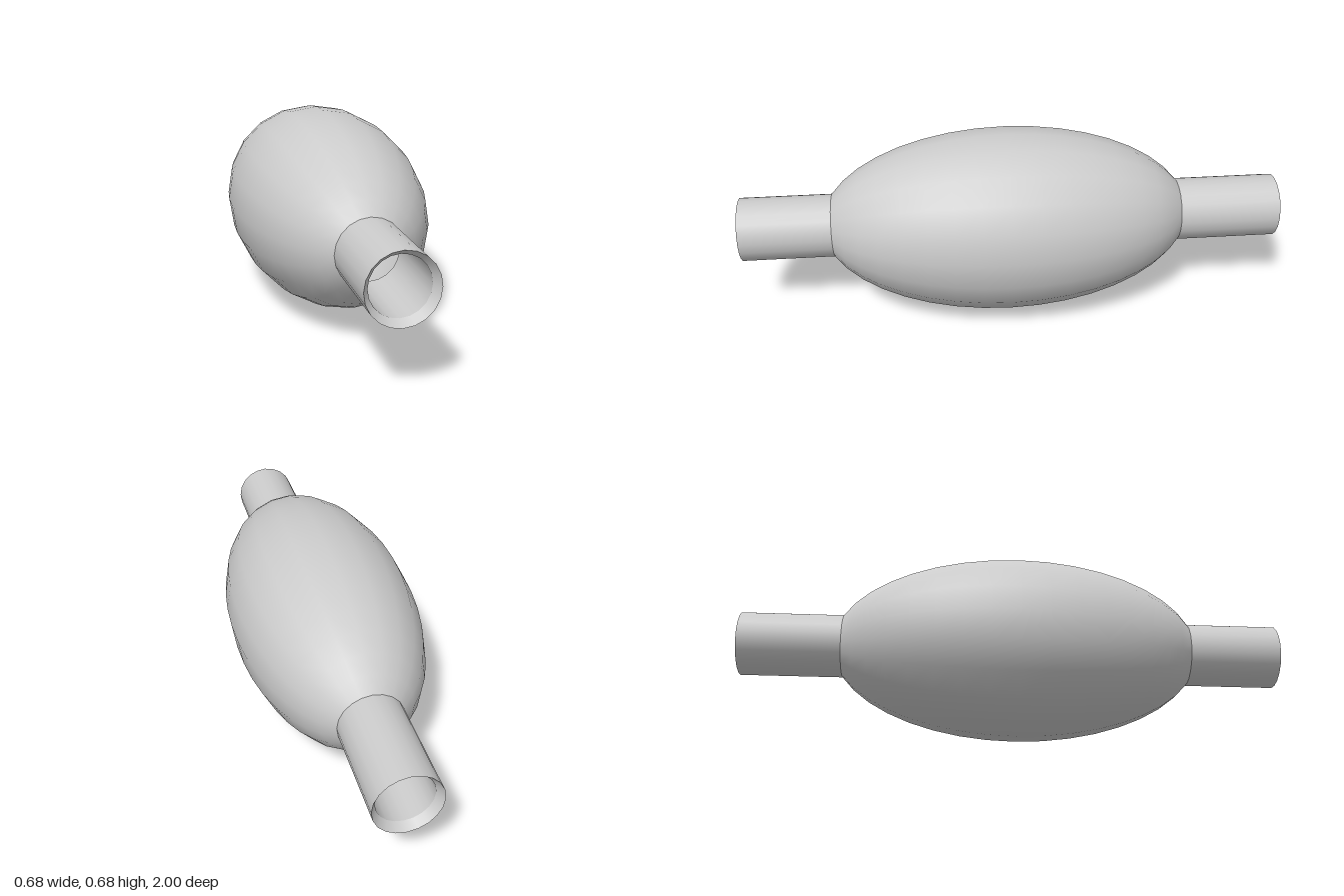
import * as THREE from 'three';

const SIDES = 20;
const CENTRE = 0.02; // the bulb sits slightly forward along the axis

export function createModel() {
  const model = new THREE.Group();
  const axis = new THREE.Group();
  axis.name = 'hollowBulb';
  axis.rotation.x = Math.PI / 2; // lathe axis y becomes z
  axis.position.y = 0.344;
  model.add(axis);

  const material = new THREE.MeshStandardMaterial({ color: 0xcccccc });

  // Profile points are [radius, z]; rising z faces outward, falling z faces inward
  function turn(name, profile) {
    const points = profile.map(([r, z]) => new THREE.Vector2(r, z));
    const mesh = new THREE.Mesh(new THREE.LatheGeometry(points, SIDES), material);
    mesh.name = name;
    axis.add(mesh);
  }

  // Ellipse arc from the back neck to the front neck
  function bulbArc(radius, halfLength, neckRadius, steps) {
    const start = Math.asin(neckRadius / radius);
    return Array.from({ length: steps + 1 }, (_, i) => {
      const t = Math.PI - start - (i / steps) * (Math.PI - 2 * start);
      return [radius * Math.sin(t), CENTRE + halfLength * Math.cos(t)];
    });
  }

  const outer = bulbArc(0.342, 0.686, 0.117, 16);
  const inner = bulbArc(0.322, 0.666, 0.097, 16);
  turn('bulbShell', outer);
  turn('bulbInside', [...inner].reverse());

  // Straight tubes at both ends, each with a bevelled mouth
  for (const [label, s] of [['front', 1], ['back', -1]]) {
    const neck = (arc) => (s > 0 ? arc[arc.length - 1][1] : arc[0][1]);
    const along = (profile) => (s > 0 ? profile : profile.reverse());
    turn(label + 'Tube', along([[0.117, neck(outer)], [0.117, s]]));
    turn(label + 'TubeMouth', along([[0.117, s], [0.097, s * 0.97]]));
    turn(label + 'TubeBore', along([[0.097, s * 0.97], [0.097, neck(inner)]]));
  }
  return model;
}
